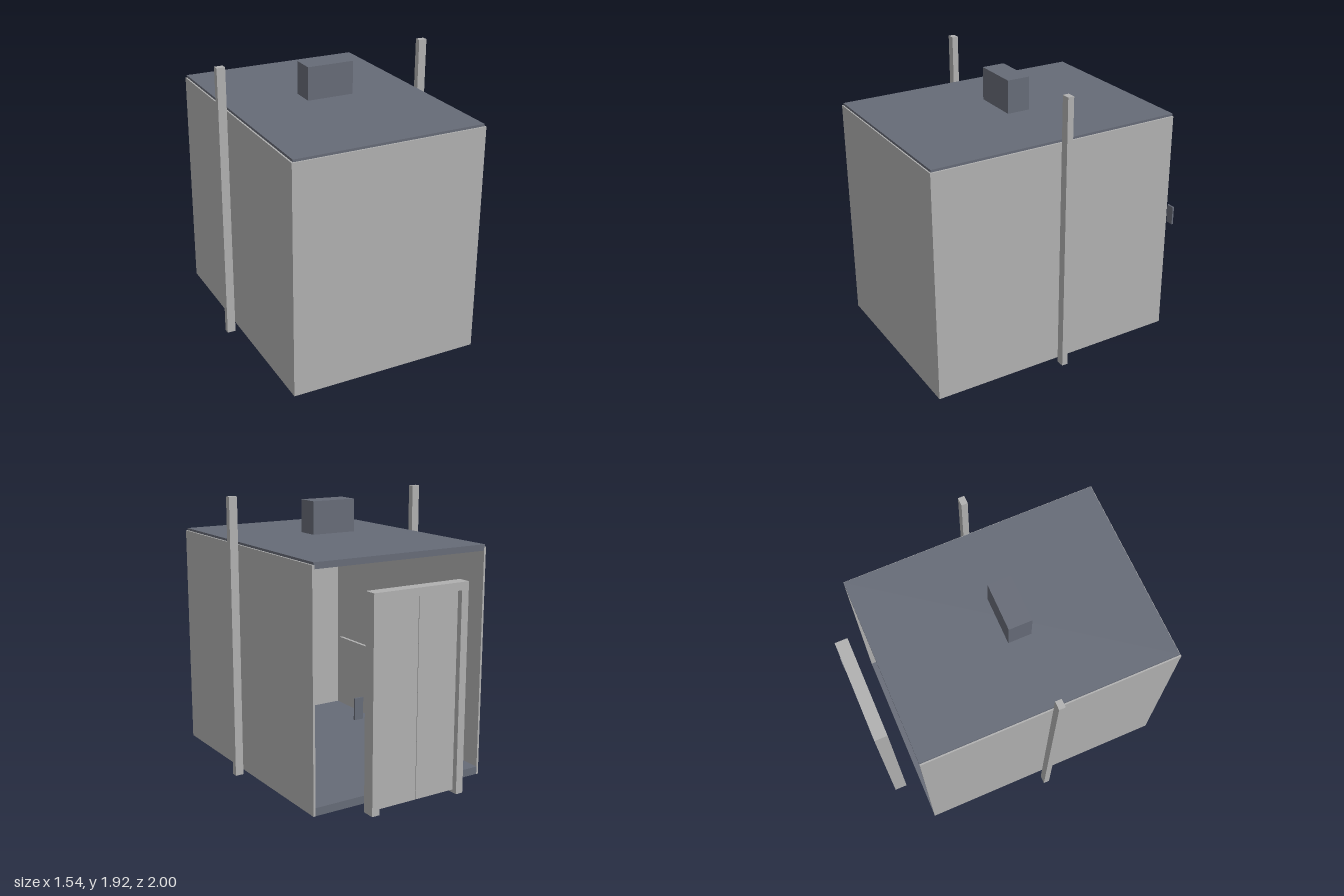
import * as THREE from 'three';

const steel = new THREE.MeshStandardMaterial({ color: 0xb0b0b0 });
steel.name = 'brushed steel grey';
const slate = new THREE.MeshStandardMaterial({ color: 0x666b77 });
slate.name = 'slate blue grey';

// Box given by its extents along each axis
function block(parent, name, material, [x0, x1], [y0, y1], [z0, z1]) {
  const mesh = new THREE.Mesh(new THREE.BoxGeometry(x1 - x0, y1 - y0, z1 - z0), material);
  mesh.position.set((x0 + x1) / 2, (y0 + y1) / 2, (z0 + z1) / 2);
  mesh.name = name;
  parent.add(mesh);
  return mesh;
}

// Extents on the left (+1) or right (-1) side
const span = (side, inner, outer) => (side > 0 ? [inner, outer] : [-outer, -inner]);

function createModel() {
  const model = new THREE.Group();
  model.name = 'elevator';

  // Cabin, open at the back
  const cabin = new THREE.Group();
  cabin.name = 'cabin';
  model.add(cabin);
  block(cabin, 'floor', slate, [-0.653, 0.653], [0.001, 0.055], [-0.79, 0.985]);
  block(cabin, 'roof', slate, [-0.658, 0.658], [1.591, 1.607], [-0.79, 0.992]);
  block(cabin, 'ceiling', slate, [-0.653, 0.653], [1.565, 1.591], [-0.79, 0.985]);
  block(cabin, 'frontWall', steel, [-0.653, 0.653], [0, 1.59], [0.985, 1]);

  // Overhead motor
  block(model, 'motorBox', slate, [-0.165, 0.165], [1.635, 1.862], [0.02, 0.18]);

  // Landing door frame behind the cabin
  const landing = new THREE.Group();
  landing.name = 'landingDoor';
  model.add(landing);
  block(landing, 'doorHeader', steel, [-0.362, 0.362], [1.37, 1.423], [-0.99, -0.9]);

  // Mirrored parts
  for (const side of [1, -1]) {
    const label = side > 0 ? 'left' : 'right';
    block(cabin, label + 'Wall', steel, span(side, 0.653, 0.668), [0, 1.59], [-0.79, 1]);
    block(cabin, label + 'Handrail', steel, span(side, 0.62, 0.645), [0.6, 0.63], [-0.55, 0.91]);
    block(model, label + 'GuideRail', steel, span(side, 0.71, 0.768), [0, 1.92], [0.077, 0.12]);
    block(landing, label + 'DoorPost', steel, span(side, 0.308, 0.362), [0, 1.37], [-0.99, -0.9]);
    block(landing, label + 'DoorPanel', steel, span(side, 0.002, 0.306), [0.022, 1.368], [-0.955, -0.93]);
  }

  // Call panel beside the doors
  block(model, 'callPanel', slate, [0.442, 0.502], [0.665, 0.8], [-1, -0.988]);

  return model;
}

export { createModel };
